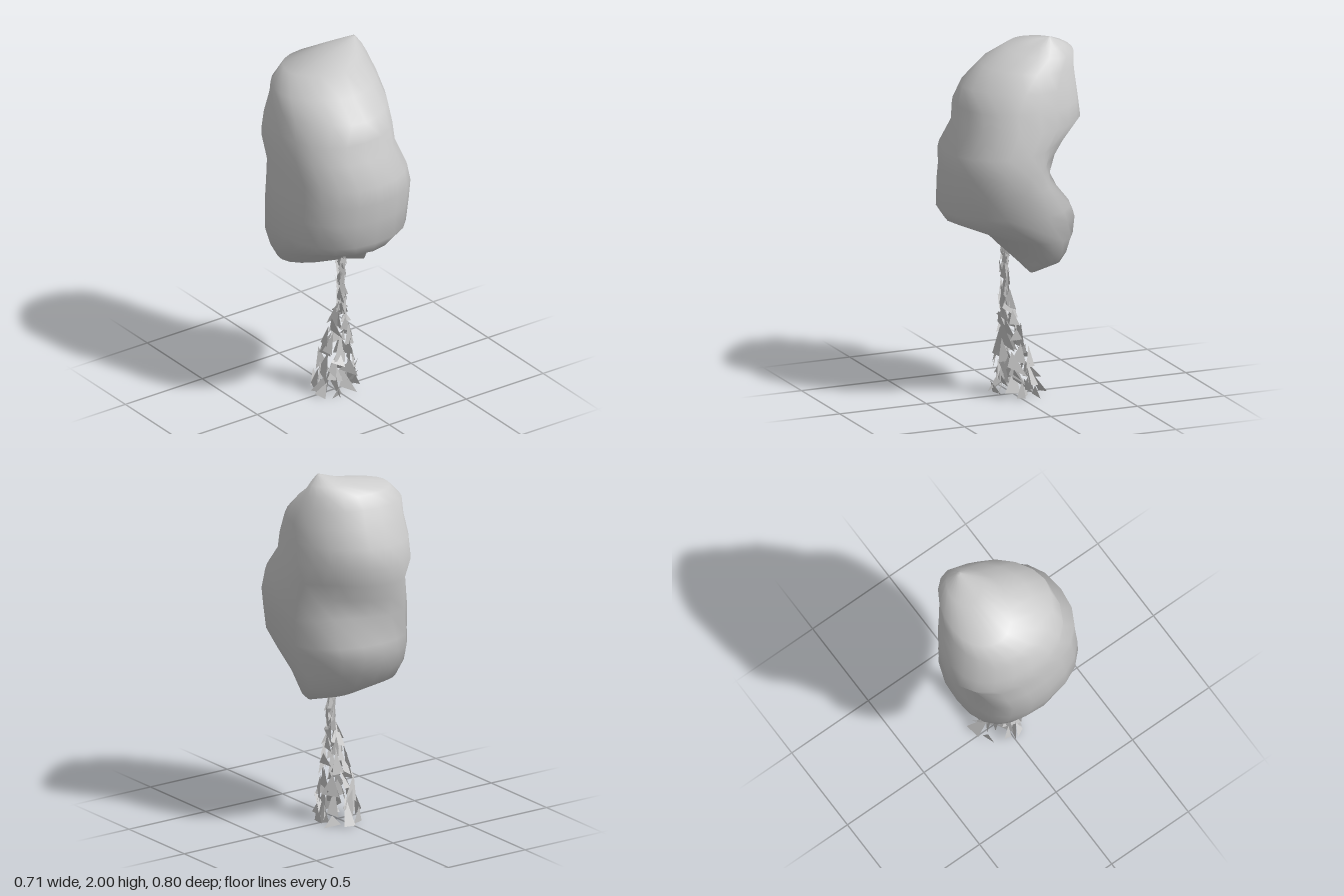
import * as THREE from 'three';

const grey = new THREE.MeshStandardMaterial({ color: 0xcccccc, side: THREE.DoubleSide });
grey.name = 'pale grey';

// Canopy slices from top to bottom: y, xMin, xMax, zMin, zMax
const SLICES = [
  [2.0, 0.2, 0.22, -0.13, -0.11],
  [1.95, 0.05, 0.26, -0.22, -0.04],
  [1.9, -0.2, 0.29, -0.31, 0.04],
  [1.82, -0.29, 0.3, -0.33, 0.17],
  [1.72, -0.31, 0.31, -0.35, 0.29],
  [1.61, -0.33, 0.3, -0.375, 0.31],
  [1.5, -0.33, 0.315, -0.4, 0.32],
  [1.38, -0.325, 0.34, -0.34, 0.4],
  [1.28, -0.33, 0.36, -0.3, 0.4],
  [1.18, -0.345, 0.345, -0.27, 0.4],
  [1.05, -0.355, 0.33, -0.3, 0.4],
  [0.99, -0.355, 0.325, -0.32, 0.37],
  [0.9, -0.315, 0.33, -0.31, 0.15],
  [0.82, -0.27, 0.31, -0.27, 0.07],
  [0.77, -0.02, 0.28, -0.21, 0.03],
  [0.72, 0.19, 0.21, -0.04, -0.01],
];
const SIDES = 20;

const lobe = (a, centre, power) => Math.max(0, Math.cos(a - centre)) ** power;
const bump = (y, centre, width) => Math.exp(-(((y - centre) / width) ** 2));

function canopyGeometry() {
  const pos = [], index = [];
  for (const [y, x0, x1, z0, z1] of SLICES) {
    const rx = (x1 - x0) / 2, rz = (z1 - z0) / 2;
    for (let j = 0; j < SIDES; j++) {
      const a = (j / SIDES) * Math.PI * 2, c = Math.cos(a), s = Math.sin(a);
      // front is full in the middle and tapered above and below; back leans to one side
      const front = y > 1.65 ? 1.15 : y < 1.02 ? 1.1 : 0.87;
      const p = s > 0 ? front : 0.97;
      const ux = Math.sign(c) * Math.abs(c) ** p - (s < 0 ? 0.15 * s * s : 0);
      const uz = Math.sign(s) * Math.abs(s) ** p;
      // slanting fold across one back corner with a bulge below, fullness at the other
      const slant = -0.95 + (y - 1.28) * 1.8;
      const fold = 0.34 * lobe(a, slant, 4) * bump(y, 1.28, y > 1.28 ? 0.22 : 0.14);
      const bulge = 0.11 * lobe(a, -0.8, 4) * bump(y, 1.02, 0.09);
      const full = 0.13 * lobe(a, -2.4, 4) * bump(y, 1.2, 0.17);
      const k = 1 - fold + bulge + full;
      pos.push((x0 + x1) / 2 + rx * ux * k, y, (z0 + z1) / 2 + rz * uz * k);
    }
  }
  const last = SLICES.length - 1;
  for (let i = 0; i < last; i++) {
    for (let j = 0; j < SIDES; j++) {
      const n = (j + 1) % SIDES;
      const a = i * SIDES + j, b = i * SIDES + n, c = a + SIDES, d = b + SIDES;
      index.push(a, b, c, b, d, c);
    }
  }
  // end caps
  for (let j = 1; j < SIDES - 1; j++) {
    index.push(0, j + 1, j);
    index.push(last * SIDES, last * SIDES + j, last * SIDES + j + 1);
  }
  const g = new THREE.BufferGeometry();
  g.setAttribute('position', new THREE.Float32BufferAttribute(pos, 3));
  g.setIndex(index);
  g.computeVertexNormals();
  // blend normals towards a rounded volume for soft foliage
  const normal = g.attributes.normal, v = new THREE.Vector3(), n = new THREE.Vector3();
  for (let i = 0; i < normal.count; i++) {
    v.fromBufferAttribute(g.attributes.position, i);
    v.y -= 1.36;
    v.y *= 0.6;
    n.fromBufferAttribute(normal, i).lerp(v.normalize(), 0.5).normalize();
    normal.setXYZ(i, n.x, n.y, n.z);
  }
  return g;
}

function seeded(seed) {
  return () => {
    seed = (seed * 16807) % 2147483647;
    return seed / 2147483647;
  };
}

// Flared trunk made of loose, jagged bark shards
function trunkGeometry() {
  const rnd = seeded(4217), pos = [];
  const path = (y) => [0.01, 0.05 - 0.07 * Math.max(0, 1 - y / 0.55)];
  const radius = (y) => 0.026 + 0.095 * Math.max(0, 1 - y / 0.6) ** 1.2;
  const point = (a, y, spread) => {
    const [cx, cz] = path(y), r = radius(y) * (1 - spread / 2 + spread * rnd());
    return [cx + Math.cos(a) * r, Math.max(0.005, y), cz + Math.sin(a) * r];
  };
  const COUNT = 88;
  for (let i = 0; i < COUNT; i++) {
    const y = 0.83 * (i / COUNT) ** 1.4, a = i * 2.4 + rnd();
    const h = 0.05 + 0.09 * rnd();
    const w = Math.min(1.7, (0.03 + 0.04 * rnd()) / radius(y));
    pos.push(
      ...point(a - w * 0.6 * rnd(), y - h * 0.3 * rnd(), 0.8),
      ...point(a + w * (rnd() - 0.3), Math.min(0.86, y + h), 0.8),
      ...point(a + w, y + h * 0.6 * (rnd() - 0.4), 0.8),
    );
  }
  const g = new THREE.BufferGeometry();
  g.setAttribute('position', new THREE.Float32BufferAttribute(pos, 3));
  g.computeVertexNormals();
  return g;
}

export function createModel() {
  const tree = new THREE.Group();
  tree.name = 'tree';
  const canopy = new THREE.Mesh(canopyGeometry(), grey);
  canopy.name = 'canopy';
  const trunk = new THREE.Mesh(trunkGeometry(), grey);
  trunk.name = 'trunk';
  tree.add(canopy, trunk);
  return tree;
}
